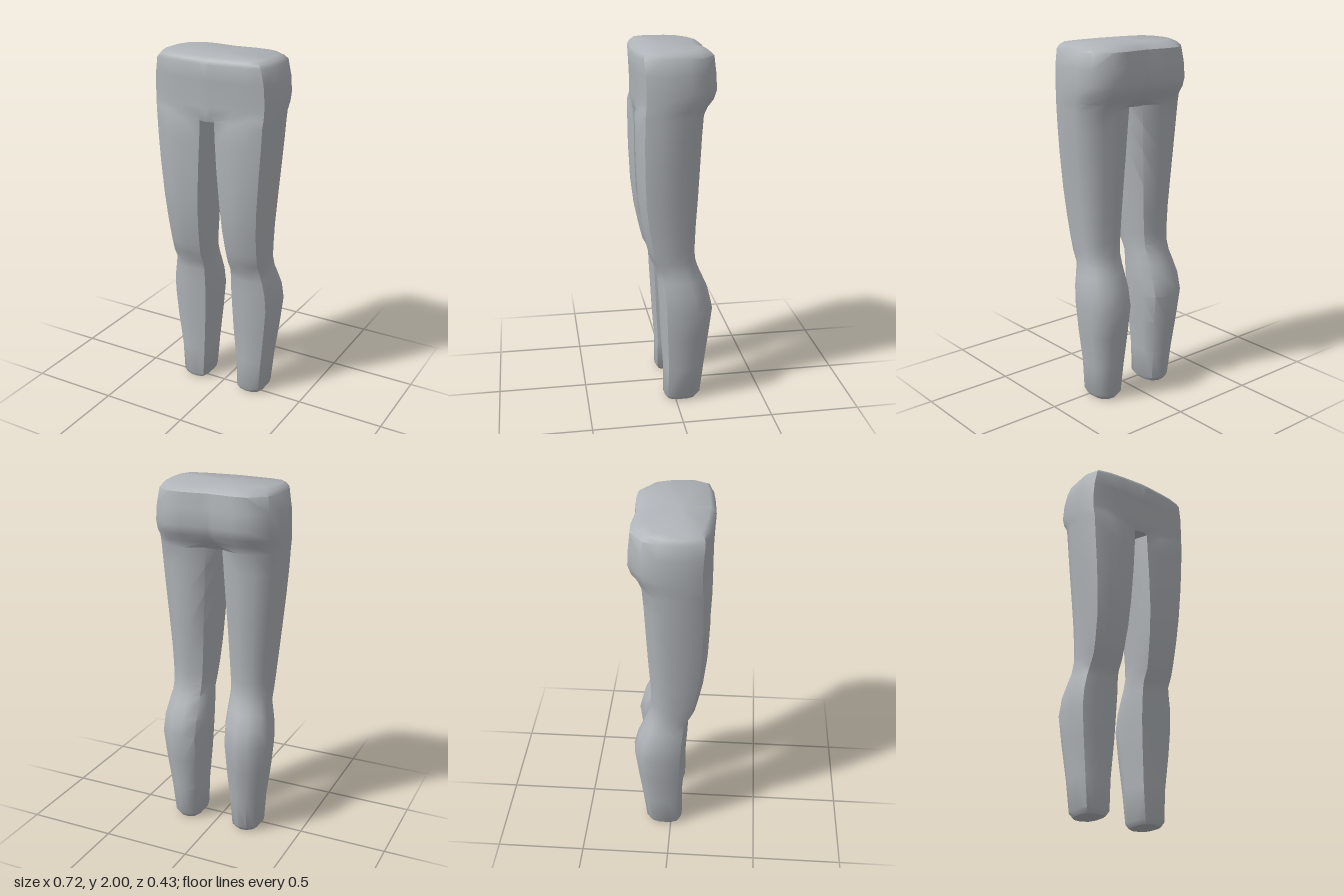
import * as THREE from 'three';
import { toCreasedNormals } from 'three/addons/utils/BufferGeometryUtils.js';

// Leg cross-section, front inner edge round the outside to the back and inner side
// [inner 0 .. outer 1, back 0 .. front 1]
const LEG = [[.1, .95], [.38, 1], [.65, .99], [.89, .91], [1, .68], [.985, .35],
  [.91, .17], [.68, .03], [.4, 0], [.12, .11], [0, .35], [0, .7]];
// Half pelvis cross-section, front centre to back centre [centre 0 .. side 1, back 0 .. front 1]
const PELVIS = [[0, 1], [.1, .995], [.42, .975], [.68, .95], [.9, .9], [1, .7], [.985, .36],
  [.91, .18], [.66, .01], [.4, 0], [.1, .025], [0, .035]];

// y, inner x, outer x, front z, back z
const LEG_RINGS = [
  [0, .118, .252, .05, -.13], [.025, .1, .27, .063, -.15], [.2, .09, .284, .062, -.17],
  [.4, .072, .31, .075, -.195], [.56, .062, .326, .083, -.214], [.66, .06, .322, .089, -.19],
  [.74, .063, .306, .093, -.155], [.79, .066, .294, .1, -.133], [.85, .066, .293, .132, -.116],
  [.92, .06, .297, .15, -.114], [1.05, .051, .305, .177, -.12], [1.2, .041, .318, .195, -.13],
  [1.4, .025, .337, .204, -.14], [1.55, .014, .35, .205, -.147], [1.66, .008, .357, .205, -.155]];
// y, side x, front z, back z
const PELVIS_RINGS = [
  [1.7, .359, .206, -.168], [1.74, .361, .207, -.2], [1.79, .362, .208, -.217],
  [1.88, .357, .212, -.212], [1.965, .341, .217, -.203], [1.985, .325, .208, -.178],
  [2, .3, .187, -.132]];

function createModel() {
  const grey = new THREE.MeshStandardMaterial({ color: 0xb0b4b8 });
  grey.name = 'grey fabric';
  const pos = [];
  const tri = (a, b, c) => pos.push(...a, ...b, ...c);
  const loft = (lower, upper) => {
    for (let i = 0; i < lower.length - 1; i++) {
      tri(lower[i], lower[i + 1], upper[i + 1]);
      tri(lower[i], upper[i + 1], upper[i]);
    }
  };
  const fan = (centre, ring, up) => {
    for (let i = 0; i < ring.length - 1; i++) {
      if (up) tri(centre, ring[i], ring[i + 1]);
      else tri(centre, ring[i + 1], ring[i]);
    }
  };
  const legRings = LEG_RINGS.map(([y, xi, xo, zf, zb]) =>
    LEG.map(([t, s]) => [xi + (xo - xi) * t, y, zb + (zf - zb) * s]));
  const pelvisRings = PELVIS_RINGS.map(([y, xo, zf, zb]) =>
    PELVIS.map(([t, s]) => [xo * t, y, zb + (zf - zb) * s]));

  // Leg and sole
  const closed = ring => [...ring, ring[0]];
  for (let i = 0; i < legRings.length - 1; i++) loft(closed(legRings[i]), closed(legRings[i + 1]));
  fan([.185, 0, -.04], closed(legRings[0]), false);

  // Crotch bridge between the legs
  const top = legRings[legRings.length - 1];
  const front = [0, 1.66, .2], back = [0, 1.66, -.125];
  fan([0, 1.66, .03], [front, top[0], top[11], top[10], top[9], back], false);

  // Hips, seat and closed waist
  const hips = [[front, ...top.slice(0, 10), back], ...pelvisRings];
  for (let i = 0; i < hips.length - 1; i++) loft(hips[i], hips[i + 1]);
  fan([0, 2, .03], hips[hips.length - 1], true);

  // Mirror the half across x = 0, reversing the corner order
  const half = pos.length;
  for (let i = 0; i < half; i += 9) {
    for (const k of [0, 6, 3]) pos.push(-pos[i + k], pos[i + k + 1], pos[i + k + 2]);
  }

  const geometry = new THREE.BufferGeometry();
  geometry.setAttribute('position', new THREE.Float32BufferAttribute(pos, 3));
  const trousers = new THREE.Mesh(toCreasedNormals(geometry, THREE.MathUtils.degToRad(42)), grey);
  trousers.name = 'trousers';
  const group = new THREE.Group();
  group.name = 'trousersModel';
  group.add(trousers);
  return group;
}

export { createModel };
